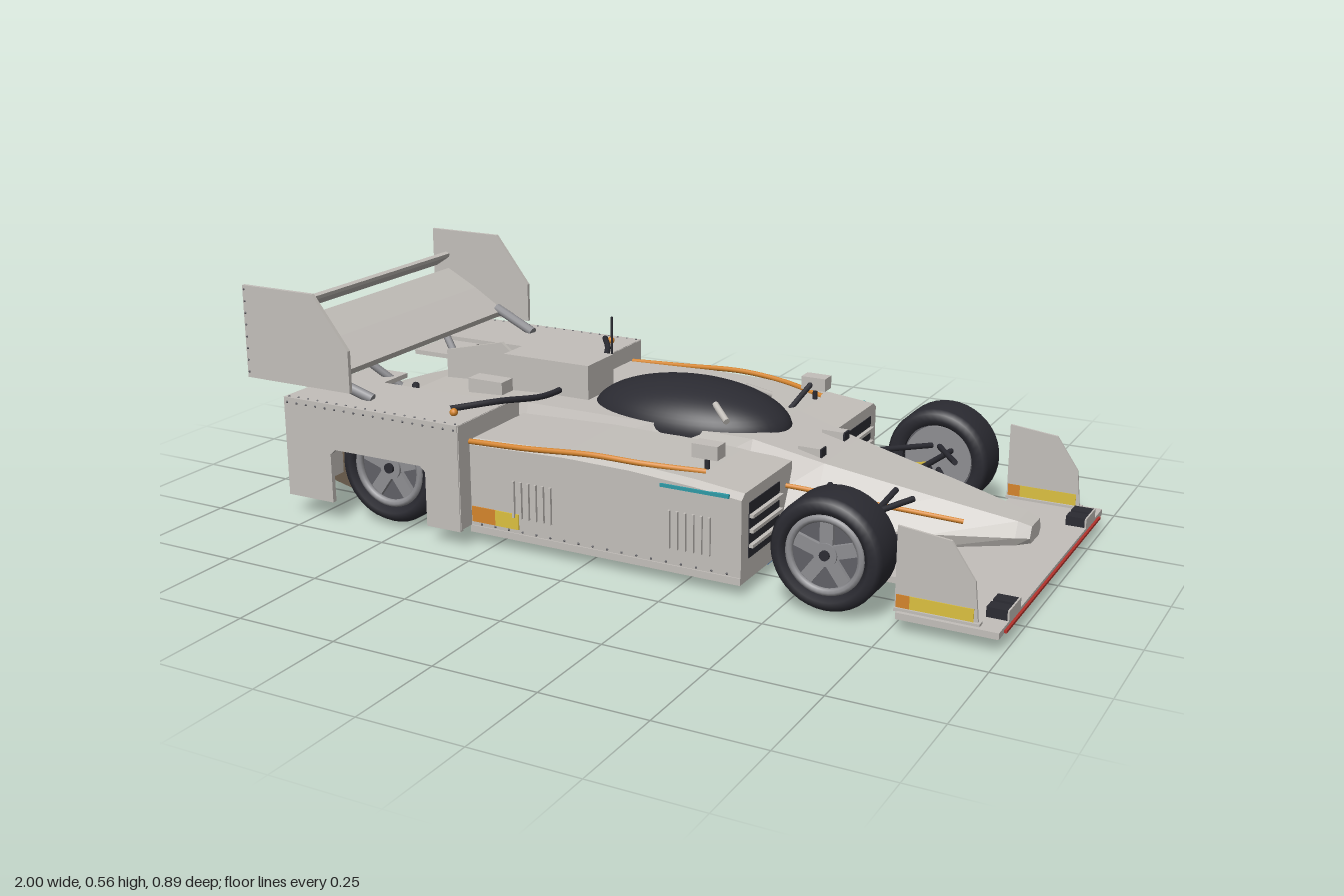
import * as THREE from 'three';
import { mergeGeometries } from 'three/addons/utils/BufferGeometryUtils.js';

const mat = (name, color) => Object.assign(new THREE.MeshStandardMaterial({ color }), { name });

export function createModel() {
  const car = new THREE.Group();
  car.name = 'raceCar';
  const M = {
    body: mat('bodyGrey', 0xc3bfba), dark: mat('darkRubber', 0x2b2b32), metal: mat('rimMetal', 0x8e8e92),
    shade: mat('dullMetal', 0x606066), orange: mat('orange', 0xd5852c), yellow: mat('yellow', 0xdcc040),
    teal: mat('teal', 0x2f9aa6), red: mat('red', 0xb5332c), blue: mat('plankBlue', 0x568ccf), brown: mat('diffuserBrown', 0x6b5d4c),
  };
  const add = (name, geo, m, parent = car) => {
    const mesh = new THREE.Mesh(geo, m);
    mesh.name = name;
    parent.add(mesh);
    return mesh;
  };
  // box given by its min and max corners
  const boxGeo = (x0, x1, y0, y1, z0, z1) =>
    new THREE.BoxGeometry(x1 - x0, y1 - y0, Math.abs(z1 - z0)).translate((x0 + x1) / 2, (y0 + y1) / 2, (z0 + z1) / 2);
  const box = (name, m, ...b) => add(name, boxGeo(...b), m);
  // side profile extruded across z
  const slab = (name, m, pts, z, depth) => add(name, new THREE.ExtrudeGeometry(
    new THREE.Shape(pts.map(p => new THREE.Vector2(...p))), { depth, bevelEnabled: false }).translate(0, 0, z - depth / 2), m);
  const rodGeo = (a, b, r) => {
    const A = new THREE.Vector3(...a), B = new THREE.Vector3(...b), d = B.clone().sub(A);
    const q = new THREE.Quaternion().setFromUnitVectors(new THREE.Vector3(0, 1, 0), d.clone().normalize());
    return new THREE.CylinderGeometry(r, r, d.length(), 10).applyQuaternion(q).translate(...A.add(B).multiplyScalar(0.5).toArray());
  };
  const rod = (name, m, a, b, r) => add(name, rodGeo(a, b, r), m);
  const hose = (name, m, pts, r) => add(name, new THREE.TubeGeometry(
    new THREE.CatmullRomCurve3(pts.map(p => new THREE.Vector3(...p))), 32, r, 8), m);
  // faceted skin over rings of [x, y, z], rings ordered towards +x
  const loft = (name, m, rings) => {
    const pos = [], n = rings[0].length, tri = (a, b, c) => pos.push(...a, ...b, ...c);
    for (let i = 0; i + 1 < rings.length; i++) for (let j = 0; j < n; j++) {
      const k = (j + 1) % n, a = rings[i][j], b = rings[i][k], c = rings[i + 1][k], d = rings[i + 1][j];
      tri(a, d, c);
      tri(a, c, b);
    }
    const first = rings[0], last = rings[rings.length - 1];
    for (let k = 1; k + 1 < n; k++) {
      tri(first[0], first[k], first[k + 1]);
      tri(last[0], last[k + 1], last[k]);
    }
    const g = new THREE.BufferGeometry();
    g.setAttribute('position', new THREE.Float32BufferAttribute(pos, 3));
    g.computeVertexNormals();
    return add(name, g, m);
  };

  // hull: x, bottom half width and y, middle half width and y, top half width and y
  loft('hull', M.body, [
    [-0.93, 0.11, 0.14, 0.12, 0.155, 0.10, 0.18], [-0.80, 0.14, 0.07, 0.15, 0.17, 0.12, 0.225],
    [-0.65, 0.16, 0.05, 0.17, 0.17, 0.14, 0.27], [-0.30, 0.19, 0.05, 0.20, 0.15, 0.15, 0.288],
    [0.05, 0.20, 0.05, 0.20, 0.13, 0.15, 0.288], [0.30, 0.195, 0.05, 0.20, 0.115, 0.13, 0.28],
    [0.47, 0.165, 0.055, 0.17, 0.115, 0.105, 0.24], [0.73, 0.10, 0.08, 0.11, 0.115, 0.068, 0.19],
    [0.91, 0.045, 0.10, 0.055, 0.12, 0.038, 0.155], [0.94, 0.03, 0.105, 0.042, 0.12, 0.03, 0.145],
  ].map(([x, wb, yb, wm, ym, wt, yt]) => [[x, yb, -wb], [x, yb, wb], [x, ym, wm], [x, yt, wt], [x, yt, -wt], [x, ym, -wm]]));

  // cockpit canopy with two light strips
  add('canopy', new THREE.SphereGeometry(1, 48, 32).scale(0.26, 0.1, 0.155).translate(0.075, 0.265, 0), M.dark);
  for (const s of [-1, 1]) rod('canopyStrip', M.body, [0.18, 0.335, s * 0.085], [0.23, 0.31, s * 0.125], 0.008);

  // engine air box, thin tail fin and antenna
  box('airBox', M.body, -0.425, -0.18, 0.27, 0.375, -0.063, 0.063);
  slab('engineFin', M.body, [[-0.64, 0.25], [-0.42, 0.25], [-0.42, 0.345], [-0.47, 0.385], [-0.64, 0.345]], 0, 0.01);
  rod('antenna', M.dark, [-0.215, 0.28, -0.118], [-0.215, 0.455, -0.118], 0.003);

  // floor, plank and front wing
  box('floor', M.body, -0.31, 0.40, 0.033, 0.05, -0.4, 0.4);
  box('rearFloor', M.body, -0.74, -0.31, 0.033, 0.05, -0.255, 0.255);
  box('frontFloor', M.body, 0.40, 0.77, 0.033, 0.048, -0.225, 0.225);
  box('plank', M.blue, -0.72, 0.40, 0.031, 0.033, -0.255, 0.255);
  box('frontWing', M.body, 0.765, 0.99, 0.035, 0.05, -0.41, 0.41);
  box('frontWingStripe', M.red, 0.989, 0.996, 0.037, 0.043, -0.375, 0.375);

  // rear wing: main plane, forward-leaning flap
  slab('rearWing', M.body, [[-0.735, 0.336], [-0.728, 0.352], [-0.82, 0.408], [-0.91, 0.455], [-0.91, 0.445], [-0.82, 0.385]], 0, 0.8);
  slab('rearWingFlap', M.body, [[-0.957, 0.463], [-0.95, 0.46], [-0.907, 0.488], [-0.905, 0.498], [-0.918, 0.502]], 0, 0.8);

  // diffuser roof and fins
  slab('diffuserRoof', M.brown, [[-0.74, 0.04], [-0.74, 0.05], [-0.93, 0.152], [-0.935, 0.142]], 0, 0.49);
  for (let i = -2; i <= 2; i++)
    slab('diffuserFin', M.brown, [[-0.93, 0.15], [-0.965, 0.055], [-0.75, 0.004], [-0.74, 0.05]], i * 0.12, 0.006);

  // hose across the engine deck
  hose('deckHose', M.dark, [[-0.38, 0.32, -0.37], [-0.31, 0.32, -0.26], [-0.27, 0.303, -0.13], [-0.262, 0.303, 0],
    [-0.27, 0.303, 0.13], [-0.31, 0.32, 0.26], [-0.38, 0.32, 0.37]], 0.008);

  // wheel: tyre, dished rim and five spokes; s is the outer side
  const wheel = (name, x, y, z, r, w, s) => {
    const g = new THREE.Group();
    g.name = name;
    g.position.set(x, y, z);
    g.rotation.x = s * Math.PI / 2;
    car.add(g);
    const h = w / 2, ri = r * 0.69;
    const prof = [[ri, -h * 0.8], [r * 0.8, -h], [r * 0.93, -h * 0.93], [r, -h * 0.7], [r, h * 0.7], [r * 0.93, h * 0.93], [r * 0.8, h], [ri, h * 0.8], [ri, -h * 0.8]];
    add('tyre', new THREE.LatheGeometry(prof.map(p => new THREE.Vector2(...p)), 40), M.dark, g);
    add('rimBack', new THREE.CylinderGeometry(ri, ri, w * 0.55, 32), M.shade, g);
    add('rimRing', new THREE.TorusGeometry(ri * 0.93, ri * 0.1, 8, 40).rotateX(Math.PI / 2).translate(0, h * 0.8, 0), M.metal, g);
    add('innerRim', new THREE.CylinderGeometry(ri * 0.95, ri * 0.95, 0.01, 32).translate(0, -h * 0.6, 0), M.metal, g);
    const spokes = [new THREE.CylinderGeometry(ri * 0.3, ri * 0.3, w * 0.15, 20).translate(0, h * 0.65, 0)];
    for (let i = 0; i < 5; i++)
      spokes.push(new THREE.BoxGeometry(ri * 0.92, w * 0.08, ri * 0.34).translate(ri * 0.46, h * 0.65, 0).rotateY(i * Math.PI * 0.4 + Math.PI / 2));
    add('spokes', mergeGeometries(spokes), M.metal, g);
    add('hubNut', new THREE.CylinderGeometry(ri * 0.13, ri * 0.13, w * 0.2, 12).translate(0, h * 0.7, 0), M.dark, g);
  };

  for (const s of [-1, 1]) {
    wheel('frontWheel', 0.6, 0.145, s * 0.354, 0.13, 0.123, s);
    wheel('rearWheel', -0.545, 0.153, s * 0.335, 0.14, 0.15, s);

    // sidepod
    loft('sidepod', M.body, [[-0.31, 0.262], [-0.05, 0.27], [0.12, 0.267], [0.28, 0.256], [0.40, 0.243]].map(([x, t]) => {
      const ring = [[x, 0.045, s * 0.13], [x, 0.045, s * 0.397], [x, t - 0.012, s * 0.397], [x, t, s * 0.38], [x, t, s * 0.13]];
      return s > 0 ? ring : ring.reverse();
    }));
    box('sidepodIntake', M.dark, 0.396, 0.402, 0.085, 0.215, s * 0.2, s * 0.36);
    for (let i = 0; i < 3; i++) box('intakeSlat', M.body, 0.40, 0.412, 0.11 + i * 0.035, 0.118 + i * 0.035, s * 0.2, s * 0.36);
    const fins = [];
    for (const x of [-0.19, 0.22]) for (let i = 0; i < 6; i++)
      fins.push(boxGeo(x + i * 0.02, x + i * 0.02 + 0.006, 0.09, 0.18, s * 0.393, s * 0.404));
    add('sidepodVentFins', mergeGeometries(fins), M.body);
    box('sidepodTealStripe', M.teal, 0.2, 0.37, 0.232, 0.24, s * 0.393, s * 0.401);
    box('sidepodPlate', M.yellow, -0.24, -0.175, 0.06, 0.098, s * 0.394, s * 0.4);
    box('sidepodPlateRear', M.orange, -0.305, -0.24, 0.06, 0.098, s * 0.394, s * 0.4);
    hose('sidepodHose', M.orange, [[-0.31, 0.258, s * 0.396], [-0.15, 0.265, s * 0.398], [0.02, 0.275, s * 0.392], [0.15, 0.269, s * 0.375], [0.28, 0.258, s * 0.33]], 0.007);
    hose('noseHose', M.orange, [[0.28, 0.20, s * 0.188], [0.42, 0.19, s * 0.155], [0.6, 0.17, s * 0.122], [0.8, 0.15, s * 0.085]], 0.006);

    // rear wheel enclosure: skirt with wheel cutout, roof and end walls
    slab('fenderSkirt', M.body, [[-0.82, 0.055], [-0.685, 0.055], [-0.685, 0.18], [-0.67, 0.193], [-0.42, 0.193], [-0.405, 0.18],
      [-0.405, 0.045], [-0.31, 0.045], [-0.31, 0.305], [-0.82, 0.305]], s * 0.438, 0.012);
    box('fenderRoof', M.body, -0.82, -0.31, 0.295, 0.308, s * 0.23, s * 0.444);
    box('fenderFrontWall', M.body, -0.325, -0.308, 0.05, 0.307, s * 0.18, s * 0.442);
    box('fenderRearWall', M.body, -0.82, -0.805, 0.055, 0.3, s * 0.25, s * 0.44);
    box('fenderRearDeck', M.body, -0.82, -0.70, 0.285, 0.297, s * 0.1, s * 0.24);
    box('fenderRearBox', M.body, -0.83, -0.81, 0.305, 0.345, s * 0.31, s * 0.345);
    add('hoseFitting', new THREE.SphereGeometry(0.01, 12, 8).translate(-0.365, 0.315, s * 0.375), M.orange);

    // rear wing end plate and stays
    slab('rearWingEndPlate', M.body, [[-0.96, 0.33], [-0.645, 0.33], [-0.645, 0.435], [-0.745, 0.565], [-0.96, 0.565]], s * 0.403, 0.01);
    rod('wingStay', M.metal, [-0.74, 0.36, s * 0.385], [-0.61, 0.31, s * 0.365], 0.013);
    rod('wingStrut', M.metal, [-0.82, 0.385, s * 0.2], [-0.70, 0.27, s * 0.13], 0.01);

    // front wing fin and small fittings
    slab('frontWingFin', M.body, [[0.757, 0.05], [0.94, 0.05], [0.93, 0.145], [0.875, 0.225], [0.757, 0.238]], s * 0.39, 0.006);
    box('finYellowStripe', M.yellow, 0.79, 0.93, 0.055, 0.085, s * 0.386, s * 0.395);
    box('finOrangeStripe', M.orange, 0.76, 0.79, 0.055, 0.085, s * 0.386, s * 0.395);
    for (const z of [0.28, 0.325]) box('wingFitting', M.dark, 0.94, 0.986, 0.048, 0.073, s * (z - 0.017), s * (z + 0.017));
    box('wingFittingFront', M.body, 0.986, 0.99, 0.048, 0.073, s * 0.26, s * 0.342);
    box('finFoot', M.body, 0.757, 0.945, 0.048, 0.056, s * 0.38, s * 0.40);

    // mirrors, nose and deck boxes
    box('mirror', M.body, 0.24, 0.305, 0.285, 0.318, s * 0.285, s * 0.325);
    rod('mirrorStalk', M.dark, [0.24, 0.24, s * 0.18], [0.265, 0.30, s * 0.29], 0.007);
    rod('mirrorPost', M.dark, [0.27, 0.23, s * 0.305], [0.27, 0.29, s * 0.305], 0.006);
    box('noseBox', M.body, 0.395, 0.45, 0.235, 0.265, s * 0.055, s * 0.085);
    box('noseBoxLens', M.dark, 0.45, 0.454, 0.243, 0.264, s * 0.055, s * 0.085);
    box('deckBox', M.body, -0.50, -0.40, 0.27, 0.315, s * 0.065, s * 0.115);

    // exhaust with tail light
    add('exhaust', new THREE.CylinderGeometry(0.018, 0.018, 0.14, 16, 1).rotateZ(Math.PI / 2).translate(-0.93, 0.15, s * 0.083), M.shade);
    add('exhaustBore', new THREE.CylinderGeometry(0.013, 0.013, 0.002, 16).rotateZ(Math.PI / 2).translate(-1.0, 0.15, s * 0.083), M.dark);
    box('tailLight', M.red, -0.936, -0.928, 0.148, 0.172, s * 0.02, s * 0.055);

    // suspension arms, springs and driveshafts
    const arms = [];
    for (const [x, y, dx] of [[0.6, 0.145, 0.1], [-0.545, 0.155, 0.13]]) for (const h of [-0.025, 0.06])
      for (const d of [-dx, dx]) arms.push(rodGeo([x + d, y + h, s * 0.14], [x + d * 0.1, y + h * 0.7, s * 0.29], 0.007));
    arms.push(rodGeo([0.64, 0.20, s * 0.09], [0.64, 0.18, s * 0.29], 0.007));
    arms.push(rodGeo([-0.545, 0.155, s * 0.1], [-0.545, 0.155, s * 0.28], 0.014));
    arms.push(rodGeo([-0.66, 0.275, s * 0.12], [-0.57, 0.24, s * 0.25], 0.01));
    add('suspensionArms', mergeGeometries(arms), M.dark);
    rod('spring', M.yellow, [0.57, 0.16, s * 0.20], [0.585, 0.145, s * 0.265], 0.006);

    // rivet rows
    const rivets = [], rivet = (x, y, z) => rivets.push(new THREE.SphereGeometry(0.003, 6, 4).translate(x, y, s * z));
    for (let i = 0; i < 18; i++) {
      rivet(-0.81 + i * 0.0288, 0.296, 0.444);
      rivet(-0.81 + i * 0.0288, 0.308, 0.435);
      rivet(-0.28 + i * 0.038, 0.055, 0.397);
      if (i < 8) rivet(-0.955, 0.345 + i * 0.03, 0.408);
    }
    add('rivets', mergeGeometries(rivets), M.shade);
  }
  return car;
}
